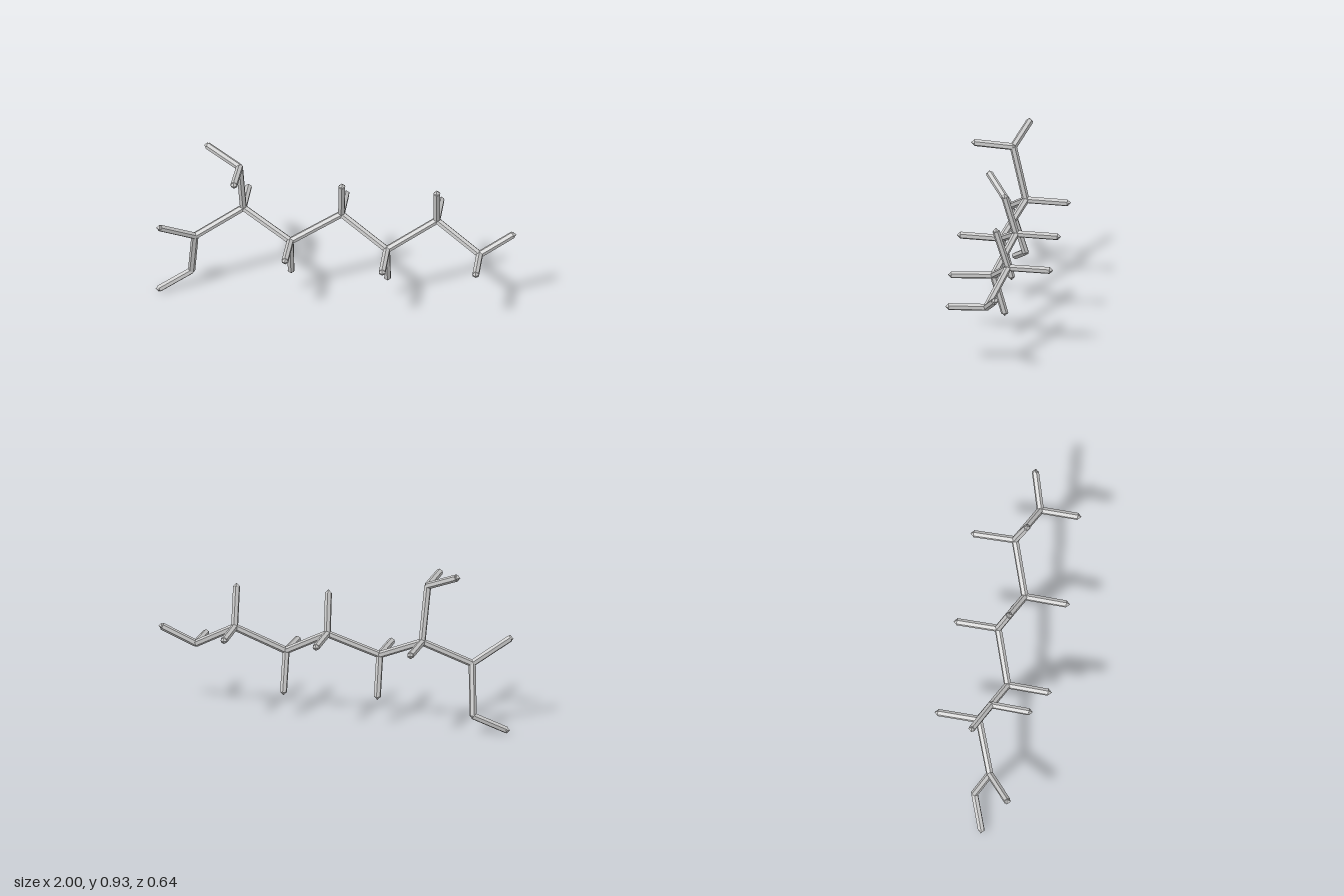
import * as THREE from 'three';

const RADIUS = 0.02;

// Joints where rods meet
const joints = {
  s0: [-0.78, 0.385, 0.03], s1: [-0.52, 0.52, -0.07], s2: [-0.25, 0.39, 0.05],
  s3: [0.025, 0.52, -0.045], s4: [0.285, 0.37, 0.065], s5: [0.555, 0.515, -0.03],
  s6: [0.8, 0.37, 0.075],
  forkElbow: [-0.805, 0.108, -0.052], upperHub: [-0.535, 0.825, 0],
};

// Free ends of the rods
const tips = {
  forkTip: [-0.965, 0.505, 0.155], forkFoot: [-0.98, 0.02, 0.012],
  upperBack: [-0.72, 0.908, -0.08], upperFront: [-0.55, 0.84, 0.215],
  back1: [-0.51, 0.51, -0.3], back3: [0.033, 0.51, -0.275], back5: [0.56, 0.505, -0.26],
  front2: [-0.262, 0.4, 0.278], front4: [0.278, 0.365, 0.298], front6: [0.795, 0.368, 0.285],
  down2: [-0.25, 0.165, -0.005], down4: [0.285, 0.15, 0.003],
  up3: [0.033, 0.737, 0.016], up5: [0.56, 0.73, 0.036],
  endTip: [0.98, 0.473, 0.02],
};

// Rods, each joining two points
const rods = {
  spineRod: [['s0', 's1'], ['s1', 's2'], ['s2', 's3'], ['s3', 's4'], ['s4', 's5'], ['s5', 's6']],
  forkRod: [['s0', 'forkTip'], ['s0', 'forkElbow'], ['forkElbow', 'forkFoot']],
  upperBranchRod: [['s1', 'upperHub'], ['upperHub', 'upperBack'], ['upperHub', 'upperFront']],
  backSpur: [['s1', 'back1'], ['s3', 'back3'], ['s5', 'back5']],
  frontSpur: [['s2', 'front2'], ['s4', 'front4'], ['s6', 'front6']],
  downSpur: [['s2', 'down2'], ['s4', 'down4']],
  upSpur: [['s3', 'up3'], ['s5', 'up5']],
  endSpur: [['s6', 'endTip']],
};

export function createModel() {
  const group = new THREE.Group();
  group.name = 'branchingRods';
  const material = new THREE.MeshStandardMaterial({ color: 0xcccccc, flatShading: true });
  const points = { ...joints, ...tips };
  const up = new THREE.Vector3(0, 1, 0);

  // Six-sided rods
  for (const [name, pairs] of Object.entries(rods)) {
    for (const [from, to] of pairs) {
      const a = new THREE.Vector3(...points[from]);
      const b = new THREE.Vector3(...points[to]);
      const dir = b.clone().sub(a);
      const rod = new THREE.Mesh(
        new THREE.CylinderGeometry(RADIUS, RADIUS, dir.length(), 6), material);
      rod.name = name;
      rod.position.copy(a).add(b).multiplyScalar(0.5);
      rod.quaternion.setFromUnitVectors(up, dir.normalize());
      group.add(rod);
    }
  }

  // Faceted joints and pointed tips
  const knobGeometry = new THREE.OctahedronGeometry(RADIUS);
  const addKnobs = (name, places) => {
    for (const place of Object.values(places)) {
      const knob = new THREE.Mesh(knobGeometry, material);
      knob.name = name;
      knob.position.set(...place);
      group.add(knob);
    }
  };
  addKnobs('joint', joints);
  addKnobs('tip', tips);
  return group;
}
